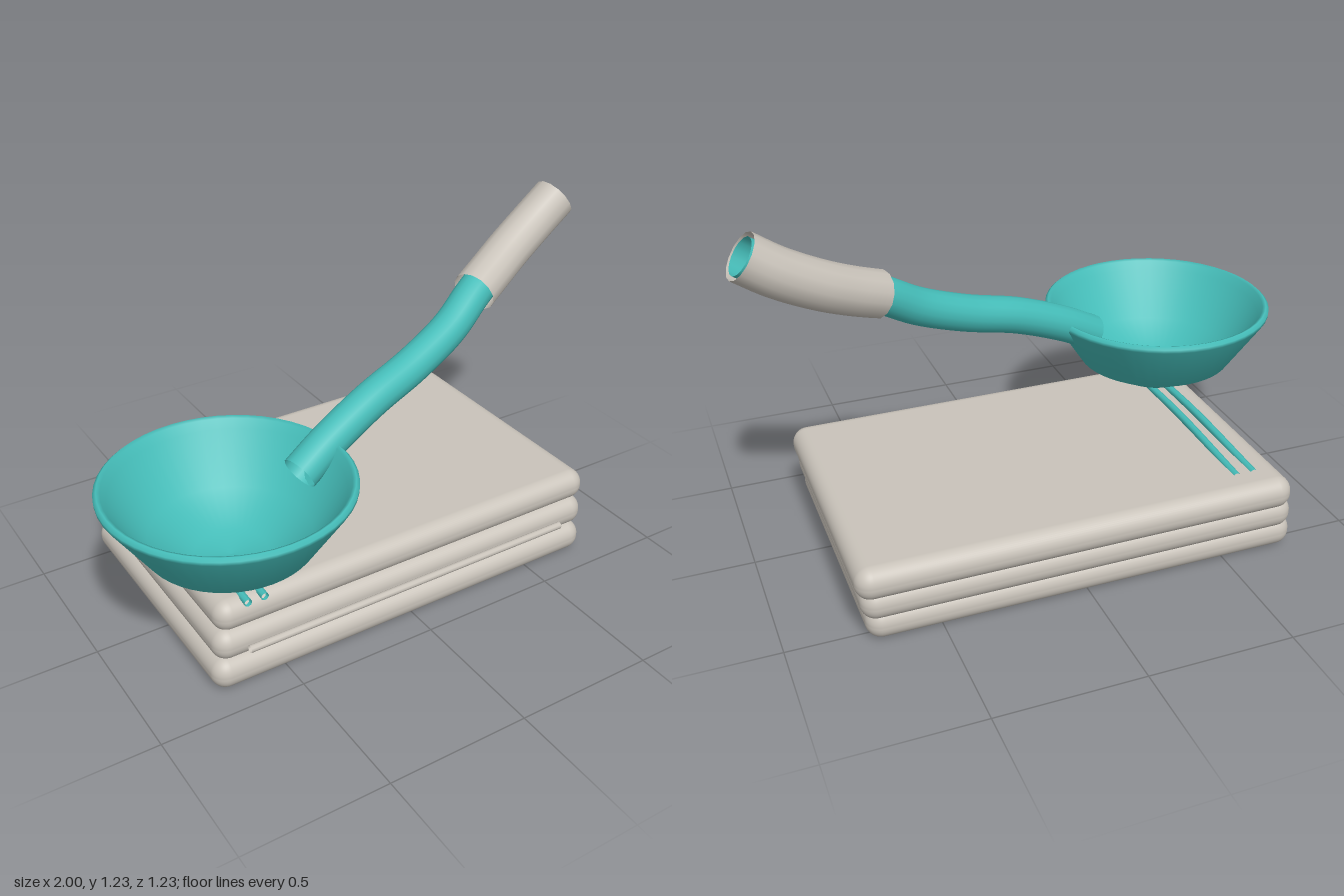
import * as THREE from 'three';
import { RoundedBoxGeometry } from 'three/addons/geometries/RoundedBoxGeometry.js';

const teal = new THREE.MeshStandardMaterial({ name: 'teal', color: 0x45bdb9, side: THREE.DoubleSide });
const stone = new THREE.MeshStandardMaterial({ name: 'warmGrey', color: 0xc9c3ba, side: THREE.DoubleSide });

const curveThrough = (points) => new THREE.CatmullRomCurve3(points.map((p) => new THREE.Vector3(...p)));

export function createModel() {
  const model = new THREE.Group();
  model.name = 'ladleOnFoldedCloths';

  const add = (name, geometry, material) => {
    const mesh = new THREE.Mesh(geometry, material);
    mesh.name = name;
    model.add(mesh);
    return mesh;
  };
  const addTube = (name, points, radius, segments, sides, material) =>
    add(name, new THREE.TubeGeometry(curveThrough(points), segments, radius, sides), material);

  // Stack of soft slabs, each shifted slightly right and back
  for (let i = 0; i < 3; i++) {
    const slab = add('slab' + (i + 1), new RoundedBoxGeometry(1.506, 0.113, 0.985, 5, 0.053), stone);
    slab.position.set(-0.007 + i * 0.018, 0.0565 + i * 0.0925, -0.078 - i * 0.0225);
  }

  // Straight open rod along the front of the stack
  addTube('frontRod', [[-0.65, 0.162, 0.43], [-0.02, 0.162, 0.43], [0.61, 0.162, 0.43]], 0.013, 8, 10, stone);

  // Two thin stripes arching over the top slab
  for (const [front, back] of [[-0.618, -0.618], [-0.558, -0.554]]) {
    addTube('topStripe', [[front, 0.291, 0.37], [(front + back) / 2, 0.307, -0.07], [back, 0.291, -0.51]],
      0.014, 24, 8, teal);
  }

  // Bowl: outer wall up, over the rim, inner wall down
  const profile = [
    [0, 0.33], [0.13, 0.34], [0.282, 0.425], [0.412, 0.622], [0.413, 0.635], [0.402, 0.645],
    [0.39, 0.64], [0.375, 0.61], [0.262, 0.45], [0.12, 0.372], [0, 0.362],
  ].map(([r, y]) => new THREE.Vector2(r, y));
  add('bowl', new THREE.LatheGeometry(profile, 48), teal).position.set(-0.585, 0, 0.2);

  // Hollow curved handle
  addTube('handle', [
    [-0.315, 0.565, 0.18], [-0.19, 0.632, 0.153], [0, 0.712, 0.115], [0.2, 0.772, 0.073],
    [0.38, 0.845, 0.03], [0.52, 0.93, -0.018], [0.72, 1.02, -0.088], [0.85, 1.092, -0.116], [0.953, 1.162, -0.125],
  ], 0.064, 48, 16, teal);

  // Open sleeve around the end of the handle
  addTube('grip', [
    [0.52, 0.93, -0.018], [0.62, 0.972, -0.055], [0.72, 1.02, -0.088], [0.85, 1.092, -0.116], [0.953, 1.162, -0.125],
  ], 0.08, 20, 14, stone);

  return model;
}
